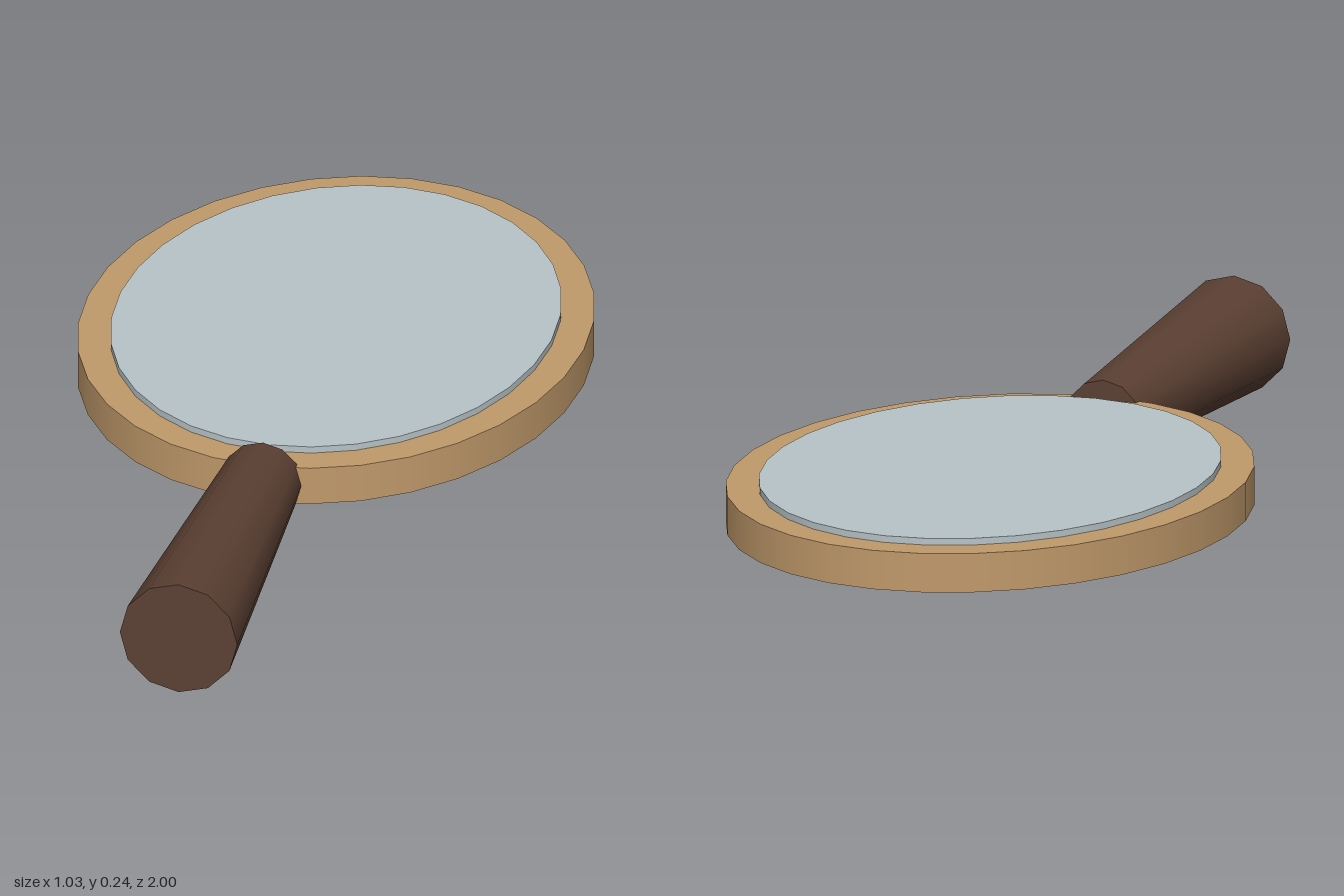
import * as THREE from 'three';

const material = (color) => new THREE.MeshStandardMaterial({ color });

// Flat elliptical disc lying between two heights
function ovalDisc(name, rx, rz, y0, y1, z, color) {
  const geometry = new THREE.CylinderGeometry(1, 1, y1 - y0, 32);
  geometry.scale(rx, 1, rz);
  const mesh = new THREE.Mesh(geometry, material(color));
  mesh.name = name;
  mesh.position.set(0, (y0 + y1) / 2, z);
  return mesh;
}

export function createModel() {
  const group = new THREE.Group();
  group.name = 'handMirror';
  const headZ = -0.35;

  // Wooden oval head with the raised glass on top
  group.add(ovalDisc('frame', 0.515, 0.65, 0.082, 0.163, headZ, 0xc19a6b));
  group.add(ovalDisc('mirrorGlass', 0.448, 0.583, 0.15, 0.177, headZ, 0xb8c4c8));

  // Twelve-sided handle, thicker towards its free end
  const front = 1, back = 0.277;
  const geometry = new THREE.CylinderGeometry(0.122, 0.082, front - back, 12);
  geometry.rotateX(Math.PI / 2);
  const handle = new THREE.Mesh(geometry, material(0x5c4033));
  handle.name = 'handle';
  handle.position.set(0, 0.122, (front + back) / 2);
  group.add(handle);

  return group;
}
